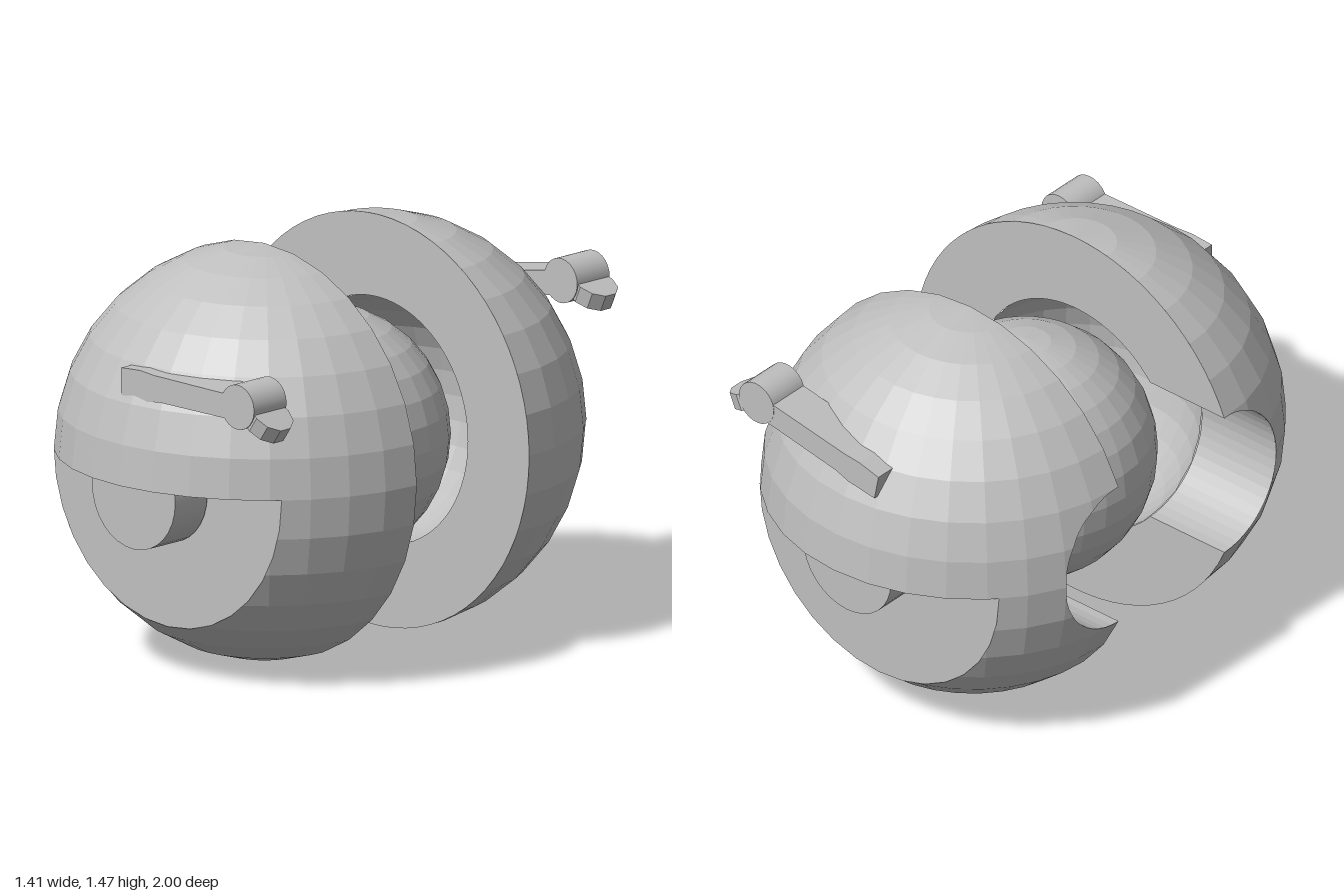
import * as THREE from 'three';

const R = 0.735, SOCKET = 0.44, CHANNEL = 0.28, CUT = 0.49;
const CX = -0.03, CY = 0.74, FACE_Z = 0.28;

// Cut a triangle soup, keeping the side where keep(point) >= 0
function clip(geo, keep, levels = 0) {
  const p = (geo.index ? geo.toNonIndexed() : geo).attributes.position;
  let tris = [];
  for (let i = 0; i < p.count; i += 3) {
    tris.push([0, 1, 2].map((k) => new THREE.Vector3().fromBufferAttribute(p, i + k)));
  }
  for (let l = 0; l < levels; l++) {
    tris = tris.flatMap(([a, b, c]) => {
      const ab = a.clone().lerp(b, 0.5), bc = b.clone().lerp(c, 0.5), ca = c.clone().lerp(a, 0.5);
      return [[a, ab, ca], [ab, b, bc], [ca, bc, c], [ab, bc, ca]];
    });
  }
  const out = [];
  for (const tri of tris) {
    const poly = [];
    tri.forEach((a, i) => {
      const b = tri[(i + 1) % 3], fa = keep(a), fb = keep(b);
      if (fa >= 0) poly.push(a);
      if (fa >= 0 !== fb >= 0) poly.push(a.clone().lerp(b, fa / (fa - fb)));
    });
    for (let i = 2; i < poly.length; i++) out.push(poly[0], poly[i - 1], poly[i]);
  }
  return new THREE.BufferGeometry().setFromPoints(out);
}

// Faceted geometry, optionally turned inside out and mirrored in z
function facet(geo, inward = false, mirror = false) {
  const g = geo.index ? geo.toNonIndexed() : geo.clone();
  if (mirror) g.scale(1, 1, -1);
  if (inward !== mirror) {
    const p = g.attributes.position;
    const a = new THREE.Vector3(), b = new THREE.Vector3();
    for (let i = 0; i < p.count; i += 3) {
      a.fromBufferAttribute(p, i + 1);
      b.fromBufferAttribute(p, i + 2);
      p.setXYZ(i + 1, b.x, b.y, b.z);
      p.setXYZ(i + 2, a.x, a.y, a.z);
    }
  }
  g.computeVertexNormals();
  return g;
}

// Circular segment beyond the flat cut
function segment() {
  const a = Math.asin(CUT / R), pts = [];
  for (let i = 0; i <= 8; i++) {
    const t = Math.PI / 4 + (i * Math.PI) / 16;
    pts.push(new THREE.Vector2(R * Math.cos(t), R * Math.sin(t)));
  }
  const x = R * Math.cos(a);
  return new THREE.Shape([new THREE.Vector2(x, CUT), ...pts, new THREE.Vector2(-x, CUT)]);
}

// One half of the split sphere, flat side at z = 0
function makeHalf(material, mirror) {
  const group = new THREE.Group();
  const add = (name, geo, inward = false) => {
    const mesh = new THREE.Mesh(facet(geo.scale(1, 1, 0.98), inward, mirror), material);
    mesh.name = name;
    group.add(mesh);
  };
  const outsideChannel = (v) => (v.x > 0 ? 1 : Math.hypot(v.y, v.z) - CHANNEL);
  const dome = (r, start, length, rows) =>
    new THREE.SphereGeometry(r, 16, rows, 0, Math.PI, start, length);

  add('upperShell', clip(dome(R, 0, Math.PI / 2, 8), outsideChannel, 2));
  const lower = clip(dome(R, Math.PI / 2, Math.PI / 2, 8), (v) => CUT - v.z);
  add('lowerShell', clip(lower, outsideChannel, 2));
  add('socket', clip(dome(SOCKET, 0, Math.PI, 16), outsideChannel, 2), true);

  // Ring face, open at the channel
  const a = Math.PI - Math.asin(CHANNEL / R), b = Math.PI - Math.asin(CHANNEL / SOCKET);
  const ring = new THREE.Shape();
  ring.absarc(0, 0, R, -a, a, false);
  ring.absarc(0, 0, SOCKET, b, -b, true);
  add('splitFace', new THREE.ShapeGeometry(ring, 32), true);

  // Half-round channel from the outside to the socket
  const x0 = -Math.sqrt(R * R - CHANNEL * CHANNEL);
  const x1 = -Math.sqrt(SOCKET * SOCKET - CHANNEL * CHANNEL);
  const tube = new THREE.CylinderGeometry(CHANNEL, CHANNEL, x1 - x0, 24, 1, true, -Math.PI / 2, Math.PI);
  add('channel', tube.rotateZ(Math.PI / 2).translate((x0 + x1) / 2, 0, 0), true);

  // Flat cut below the overhanging cap
  const disc = new THREE.CircleGeometry(Math.sqrt(R * R - CUT * CUT), 16, Math.PI, Math.PI);
  add('cutFace', disc.translate(0, 0, CUT));
  add('capUnderside', new THREE.ShapeGeometry(segment()).rotateX(Math.PI / 2));

  group.position.set(CX, CY, mirror ? -FACE_Z : FACE_Z);
  return group;
}

// Arm with a round knob and a thumb pad, centred on the knob
function makeLever(material) {
  const group = new THREE.Group();
  const add = (name, geo) => {
    const mesh = new THREE.Mesh(geo, material);
    mesh.name = name;
    group.add(mesh);
    return mesh;
  };
  const outline = [[-0.56, -0.055], [-0.44, -0.06], [-0.38, -0.05], [0, -0.05],
    [0, 0.037], [-0.4, 0.042], [-0.47, 0.048], [-0.56, 0.042]];
  const shape = new THREE.Shape(outline.map(([x, y]) => new THREE.Vector2(x, y)));
  const arm = new THREE.ExtrudeGeometry(shape, { depth: 0.16, bevelEnabled: false });
  add('leverArm', arm.translate(0, 0, -0.08));
  add('leverKnob', new THREE.CylinderGeometry(0.08, 0.08, 0.162, 24).rotateX(Math.PI / 2));
  const pad = add('thumbPad', facet(new THREE.CylinderGeometry(0.08, 0.08, 0.062, 10)));
  pad.position.set(0.073, -0.05, 0);
  pad.rotation.z = -0.6;
  return group;
}

export function createModel() {
  const model = new THREE.Group();
  const grey = new THREE.MeshStandardMaterial({ color: 0xbfbfbf });
  grey.name = 'grey';

  // Ball between the halves
  const ball = new THREE.Mesh(facet(new THREE.SphereGeometry(0.46, 32, 16)), grey);
  ball.name = 'innerBall';
  ball.position.set(-0.04, CY, 0);
  model.add(ball);

  const sides = [
    { name: 'front', sign: 1, knob: [0.47, 1.097], tilt: 0, pivotY: 0.7 },
    { name: 'back', sign: -1, knob: [0.385, 1.22], tilt: 0.19, pivotY: 0.74 },
  ];
  for (const { name, sign, knob, tilt, pivotY } of sides) {
    const half = makeHalf(grey, sign < 0);
    half.name = name + 'Half';

    const lever = makeLever(grey);
    lever.name = name + 'Lever';
    lever.position.set(knob[0], knob[1], sign * 0.85);
    lever.rotation.z = tilt;

    // Round pivot half hidden by the cap
    const pivot = new THREE.Mesh(new THREE.CylinderGeometry(0.2, 0.2, 0.16, 32), grey);
    pivot.name = name + 'Pivot';
    pivot.rotation.x = Math.PI / 2;
    pivot.position.set(CX, pivotY, sign * 0.85);
    model.add(half, lever, pivot);
  }
  return model;
}
